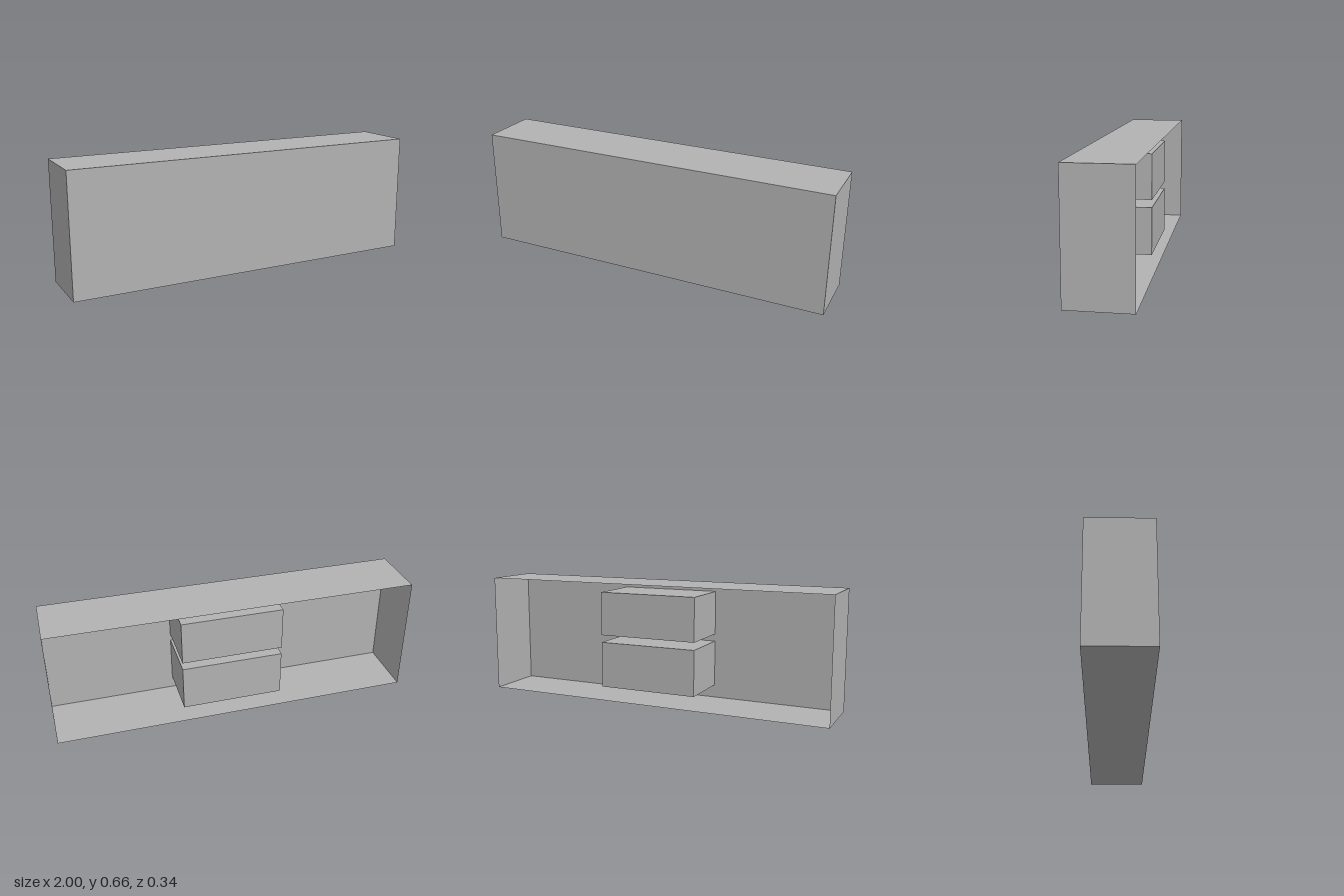
import * as THREE from 'three';

const W = 2, H = 0.66, D = 0.336;

export function createModel() {
  const group = new THREE.Group();
  const grey = new THREE.MeshStandardMaterial({ color: 0xb2b2b2, side: THREE.DoubleSide });
  grey.name = 'plain grey';

  // Thin-walled casing, open at the back
  const panel = (name, w, h, pos, rot = [0, 0, 0]) => {
    const mesh = new THREE.Mesh(new THREE.PlaneGeometry(w, h), grey);
    mesh.name = name;
    mesh.position.set(...pos);
    mesh.rotation.set(...rot);
    group.add(mesh);
  };
  const q = Math.PI / 2;
  panel('frontPanel', W, H, [0, H / 2, D / 2]);
  panel('topPanel', W, D, [0, H, 0], [-q, 0, 0]);
  panel('bottomPanel', W, D, [0, 0, 0], [q, 0, 0]);
  panel('leftPanel', D, H, [W / 2, H / 2, 0], [0, q, 0]);
  panel('rightPanel', D, H, [-W / 2, H / 2, 0], [0, -q, 0]);

  // Two blocks fixed to the inside of the front panel
  const block = (name, y0, y1) => {
    const z0 = -0.14, z1 = D / 2 - 0.001;
    const mesh = new THREE.Mesh(new THREE.BoxGeometry(0.56, y1 - y0, z1 - z0), grey);
    mesh.name = name;
    mesh.position.set(0.016, (y0 + y1) / 2, (z0 + z1) / 2);
    group.add(mesh);
  };
  block('upperBlock', 0.366, 0.607);
  block('lowerBlock', 0.071, 0.325);

  return group;
}
